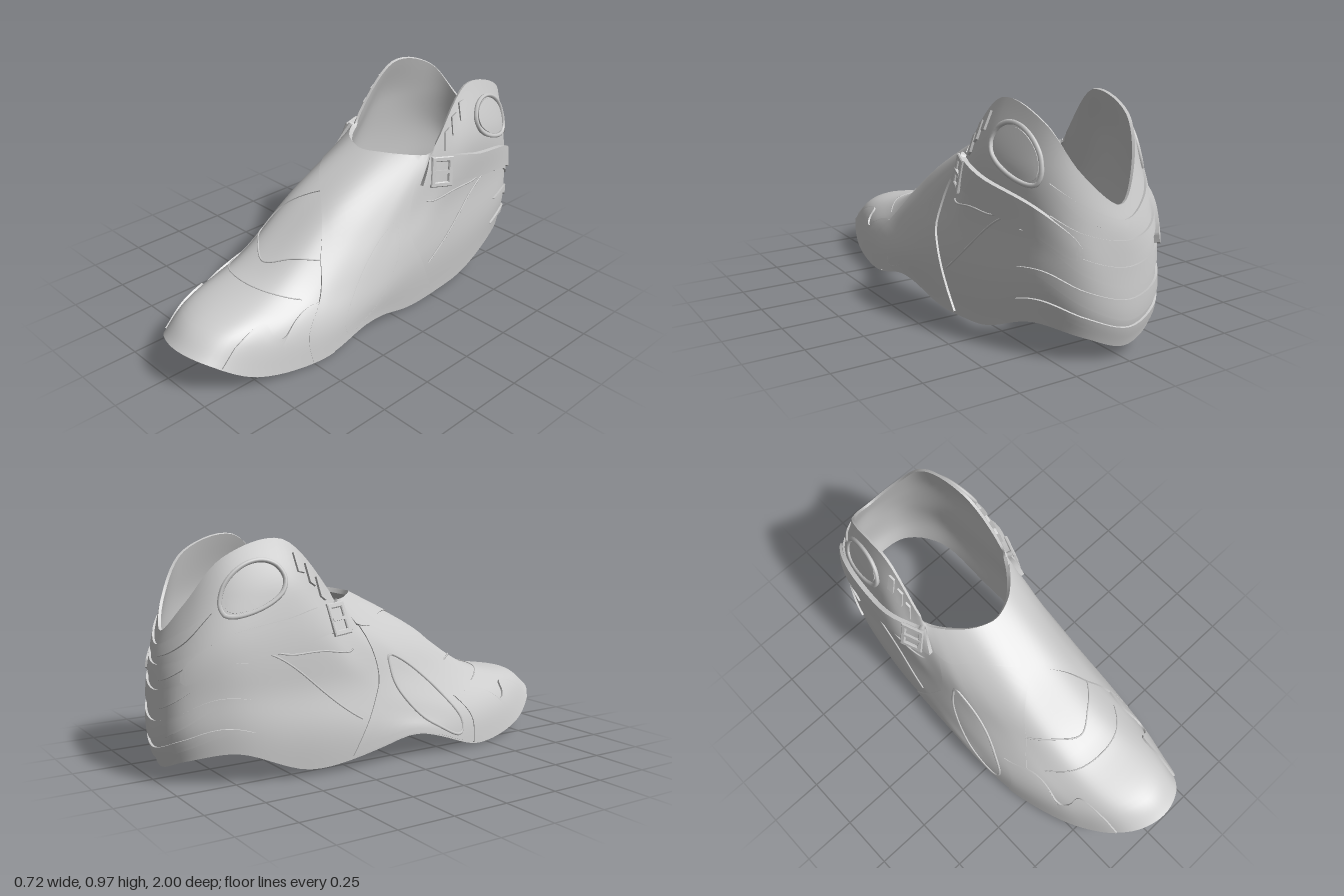
import * as THREE from 'three';
import { toCreasedNormals } from 'three/addons/utils/BufferGeometryUtils.js';

const material = new THREE.MeshStandardMaterial({ color: 0xcccccc, side: THREE.DoubleSide });
const { clamp, smoothstep } = THREE.MathUtils;
const bump = (x, centre, width) => Math.exp(-(((x - centre) / width) ** 2));

// Half-shell columns from lower edge to collar: toe first, then round to the heel
const vampColumns = [
  [[0, .18, 1], [0, .25, .9], [0, .335, .54], [0, .56, .18], [0, .7, -.08]],
  [[.15, .155, .95], [.15, .235, .84], [.14, .325, .52], [.12, .55, .17], [.095, .705, -.11]],
  [[.26, .05, .77], [.25, .18, .69], [.24, .285, .43], [.21, .5, .12], [.165, .7, -.17]],
  [[.335, .005, .45], [.325, .13, .42], [.3, .26, .28], [.27, .45, .05], [.21, .695, -.225]],
  [[.35, .06, .2], [.345, .15, .17], [.325, .29, .07], [.285, .48, -.09], [.235, .7, -.265]],
];
const heelColumns = [
  [[.335, .06, -.12], [.34, .2, -.14], [.325, .36, -.18], [.29, .53, -.24], [.245, .75, -.3]],
  [[.32, .03, -.45], [.335, .25, -.46], [.315, .5, -.47], [.295, .75, -.48], [.225, .96, -.5]],
  [[.275, .13, -.75], [.285, .3, -.78], [.27, .5, -.78], [.25, .68, -.76], [.2, .895, -.75]],
  [[.16, .1, -.92], [.17, .22, -.94], [.17, .4, -.935], [.155, .55, -.91], [.12, .715, -.88]],
  [[0, .05, -.965], [0, .16, -.99], [0, .35, -.98], [0, .5, -.965], [0, .6, -.94]],
];
const half = [...vampColumns, ...heelColumns];
const columns = Array.from({ length: 18 }, (_, i) => new THREE.CatmullRomCurve3(
  half[i < 10 ? i : 18 - i].map(([x, y, z]) => new THREE.Vector3(i < 10 ? x : -x, y, z))));

// Point on the shell: k = column (positive on the left side), v = height from edge to collar
function surface(k, v) {
  const ring = new THREE.CatmullRomCurve3(columns.map(c => c.getPoint(clamp(v, 0, 1))), true);
  const p = ring.getPoint((((k % 18) + 18) % 18) / 18);
  const low = 1 - smoothstep(v, 0, .35);
  const side = smoothstep(Math.abs(p.x), .15, .33);
  // Left edge dips under the arch, right edge lifts
  p.y += low * side * (p.x > 0 ? -.06 * bump(p.z, -.12, .2) : .045 * bump(p.z, .05, .16));
  // Foot curvature, with a flatter right flank
  const flank = .026 * smoothstep(-p.x, .08, .28) * bump(p.y, .36, .16);
  p.x += flank + .07 * Math.max(p.z, 0) ** 2 + .03 * smoothstep(p.y, .4, .75)
    - .015 * bump(p.z, 0, .3) * low;
  return p;
}

function normalAt(k, v) {
  const e = .01, w = clamp(v, e, 1 - e);
  const du = surface(k + e, w).sub(surface(k - e, w));
  const dv = surface(k, w + e).sub(surface(k, w - e));
  return du.cross(dv).normalize();
}
const lifted = (k, v, off) => surface(k, v).addScaledVector(normalAt(k, v), off);

// Smooth skin over a grid of points
function gridMesh(name, rows) {
  const w = rows[0].length, index = [];
  for (let j = 0; j < rows.length - 1; j++) {
    for (let i = 0; i < w - 1; i++) {
      const a = j * w + i, b = a + w;
      index.push(a, a + 1, b + 1, a, b + 1, b);
    }
  }
  const geo = new THREE.BufferGeometry().setFromPoints(rows.flat());
  geo.setIndex(index);
  const mesh = new THREE.Mesh(toCreasedNormals(geo, .7), material);
  mesh.name = name;
  return mesh;
}

const flatCurve = pts => new THREE.CatmullRomCurve3(pts.map(([k, v]) => new THREE.Vector3(k, v, 0)));

// Raised overlay lying between two edge lines on the shell, with turned-down borders
function overlay(name, lower, upper, off, n = 30, m = 8) {
  const A = flatCurve(lower), B = flatCurve(upper), rows = [];
  for (let j = -1; j <= m + 1; j++) {
    const row = [];
    for (let i = -1; i <= n + 1; i++) {
      const s = clamp(i / n, 0, 1), t = clamp(j / m, 0, 1);
      const p = A.getPoint(s).lerp(B.getPoint(s), t);
      const border = i < 0 || i > n || j < 0 || j > m;
      row.push(lifted(p.x, p.y, border ? -.003 : off));
    }
    rows.push(row);
  }
  return gridMesh(name, rows);
}

// Thin piping along a line on the shell
function piping(name, pts, r = .006, closed = false) {
  const line = flatCurve(pts);
  line.closed = closed;
  const n = closed ? 32 : 24;
  const path = Array.from({ length: closed ? n : n + 1 }, (_, i) => {
    const p = line.getPoint(i / n);
    return lifted(p.x, p.y, r * .5);
  });
  const mesh = new THREE.Mesh(new THREE.TubeGeometry(
    new THREE.CatmullRomCurve3(path, closed), 48, r, 6, closed), material);
  mesh.name = name;
  return mesh;
}

// Open buckle with a centre prong, lined up with the ankle strap
function buckle(k, v, s) {
  const shape = new THREE.Shape();
  shape.moveTo(-.05, -.065).lineTo(.05, -.065).lineTo(.05, .065).lineTo(-.05, .065).closePath();
  const hole = new THREE.Path();
  hole.moveTo(-.036, -.05).lineTo(-.036, .05).lineTo(.036, .05).lineTo(.036, -.05).closePath();
  shape.holes.push(hole);
  const frame = new THREE.Mesh(new THREE.ExtrudeGeometry(shape,
    { depth: .008, bevelEnabled: true, bevelSize: .004, bevelThickness: .004, bevelSegments: 1 }), material);
  frame.name = 'buckleFrame';
  const prong = new THREE.Mesh(new THREE.BoxGeometry(.09, .014, .012), material);
  prong.name = 'buckleProng';
  prong.position.z = .008;
  const g = new THREE.Group();
  g.name = 'buckle';
  g.add(frame, prong);
  const nrm = normalAt(k, v);
  const up = nrm.clone().cross(new THREE.Vector3(0, -.15 * s, -s)).normalize();
  const along = up.clone().cross(nrm);
  g.quaternion.setFromRotationMatrix(new THREE.Matrix4().makeBasis(along, up, nrm));
  g.position.copy(lifted(k, v, .022));
  return g;
}

export function createModel() {
  const model = new THREE.Group();
  model.name = 'shoeUpper';

  // Shell: outer skin, collar rim, lining, lower rim
  const levels = 32, around = 126, rows = [];
  const ringAt = (v, off) => Array.from({ length: around + 1 },
    (_, i) => lifted(i / around * 18, v, off));
  for (let j = 0; j <= levels; j++) rows.push(ringAt(j / levels, 0));
  for (let j = levels; j >= 0; j--) rows.push(ringAt(j / levels, -.012));
  rows.push(rows[0]);
  model.add(gridMesh('shell', rows));

  // Crossed wraps over the instep, running down to the opposite sides
  const wrap = (s, name, off) => overlay(name,
    [[-4, .88], [-1.5, .87], [0, .77], [1.5, .62], [2.5, .4], [2.8, .02]].map(([k, v]) => [k * s, v]),
    [[-4, 1], [-1.5, 1], [.8, 1], [3.4, .98], [4.7, .5], [5.4, .02]].map(([k, v]) => [k * s, v]),
    off, 44, 20);
  model.add(wrap(-1, 'innerWrap', .005), wrap(1, 'outerWrap', .01));

  // Toe creases
  model.add(piping('toeSeam', [[-1.9, .46], [0, .45], [1.9, .46]], .003));
  model.add(piping('tongueEdge', [[-1.7, .6], [-.8, .57], [0, .53], [.8, .57], [1.7, .6]], .004));

  for (const s of [-1, 1]) {
    const side = new THREE.Group();
    side.name = s > 0 ? 'leftSide' : 'rightSide';
    const on = pts => pts.map(([k, v]) => [k * s, v]);

    // Stepped guard along the side of the toe
    side.add(overlay('toeGuard', on([[1.3, .01], [1.7, .01], [2.2, .01], [2.7, .01], [3.2, .01]]),
      on([[1.35, .18], [1.5, .32], [2.25, .27], [2.2, .4], [3, .45]]), .009, 32, 8));

    // Rounded opening edge on the side of the wrap
    side.add(piping('sideWindowEdge',
      on([[3.5, .1], [3.3, .4], [3.2, .66], [3.45, .74], [3.9, .69], [4.3, .5], [4.1, .2]]), .007, true));

    // Quarter panel seams
    side.add(piping('quarterSeam', on([[5.2, .25], [5.7, .36], [6.3, .48], [6.6, .52]]), .004));
    side.add(piping('quarterTopSeam', on([[4.9, .72], [5.5, .58], [6.1, .5], [6.6, .52]]), .004));

    // Ankle strap and buckle
    side.add(overlay('ankleStrap',
      on([[4.3, .85], [5, .79], [6, .54], [7, .48], [7.8, .49], [7.95, .53]]),
      on([[4.3, .98], [5, .93], [6, .66], [7, .63], [7.8, .62], [7.95, .58]]), .022));
    side.add(buckle(5.18 * s, .82, s));

    // Oval ankle pad with a rim
    const oval = (a, r) => [6.63 + .5 * r * Math.cos(a), .81 + .11 * r * Math.sin(a)];
    const arc = (dir) => Array.from({ length: 9 }, (_, i) => oval(Math.PI + dir * Math.PI * i / 8, .85));
    side.add(overlay('anklePad', on(arc(1)), on(arc(-1)), .006, 20, 8));
    side.add(piping('anklePadRim',
      on(Array.from({ length: 14 }, (_, i) => oval(i / 7 * Math.PI, 1))), .01, true));

    // Small ribs on the front edge of the collar wing
    for (let i = 0; i < 3; i++) {
      const k = 5.3 + i * .22;
      side.add(overlay('collarRib', on([[k, .88], [k + .13, .86]]),
        on([[k, .97], [k + .13, .95]]), .01, 5, 3));
    }
    model.add(side);
  }

  // Stacked ridges wrapping the heel, tapering to points at both sides
  for (let i = 0; i < 5; i++) {
    const v = .14 + i * .165, reach = i > 2 ? 1.7 : 2.3;
    const edge = dv => [-1, -.6, 0, .6, 1].map(t => [9 + t * reach, v + dv * (1.03 - t * t)]);
    model.add(overlay('heelRidge', edge(-.045), edge(.06), .009, 36, 5));
  }
  return model;
}
